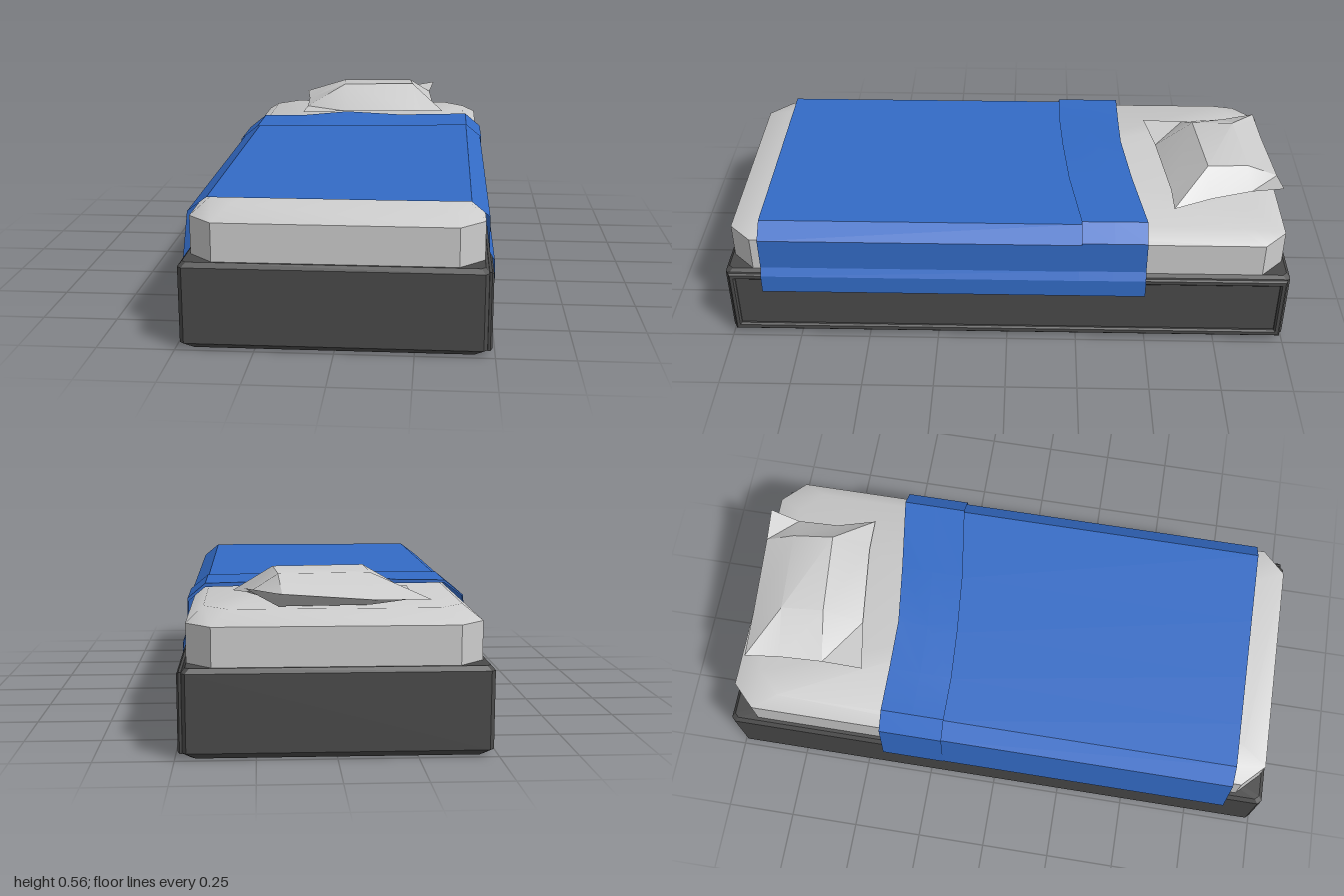
import * as THREE from 'three';
import { toCreasedNormals } from 'three/addons/utils/BufferGeometryUtils.js';

const mat = (name, color, side = THREE.FrontSide) => {
  const m = new THREE.MeshStandardMaterial({ color, side });
  m.name = name;
  return m;
};

// Skin rows of [x, y, z] points, skipping collapsed triangles
function skin(rows, closed, crease) {
  const pos = [];
  const same = (a, b) => a.every((v, k) => Math.abs(v - b[k]) < 1e-6);
  const tri = (a, b, c) => {
    if (!same(a, b) && !same(b, c) && !same(a, c)) pos.push(...a, ...b, ...c);
  };
  for (let i = 0; i + 1 < rows.length; i++) {
    const n = rows[i].length;
    for (let j = 0; j < (closed ? n : n - 1); j++) {
      const k = (j + 1) % n;
      tri(rows[i][j], rows[i][k], rows[i + 1][j]);
      tri(rows[i][k], rows[i + 1][k], rows[i + 1][j]);
    }
  }
  const g = new THREE.BufferGeometry();
  g.setAttribute('position', new THREE.Float32BufferAttribute(pos, 3));
  g.computeVertexNormals();
  return crease ? toCreasedNormals(g, crease) : g;
}

// Rectangle with cut corners, as a level ring
const ring = (y, x0, x1, z0, z1, c) => [
  [x1, z1 - c], [x1, z0 + c], [x1 - c, z0], [x0 + c, z0],
  [x0, z0 + c], [x0, z1 - c], [x0 + c, z1], [x1 - c, z1],
].map(([x, z]) => [x, y, z]);

// Stack of rings closed with a flat cap at both ends
function block(rings, crease) {
  const cap = r => r.map(() => [0, r[0][1], 0]);
  return skin([cap(rings[0]), ...rings, cap(rings[rings.length - 1])], true, crease);
}

export function createModel() {
  const group = new THREE.Group();
  const charcoal = mat('charcoal', 0x4a4a4a);
  const linen = mat('linen', 0xcccccc);
  const blue = mat('blue', 0x336bc6, THREE.DoubleSide);
  const add = (name, geometry, material) => {
    const m = new THREE.Mesh(geometry, material);
    m.name = name;
    group.add(m);
    return m;
  };

  // Base with chamfered edges
  const baseRing = (y, d) => ring(y, -0.485 + d, 0.478 - d, -1 + d, 1 - d, 0.014);
  add('base', block([baseRing(0, 0.028), baseRing(0.022, 0), baseRing(0.27, 0), baseRing(0.285, 0.013)]), charcoal);

  // Raised frame around the recessed panel on the left side
  const rect = (P, z, y0, y1) => new P([[-z, y0], [z, y0], [z, y1], [-z, y1]].map(p => new THREE.Vector2(...p)));
  const frame = rect(THREE.Shape, 0.983, 0.026, 0.268);
  frame.holes.push(rect(THREE.Path, 0.972, 0.04, 0.255));
  const frameGeo = new THREE.ExtrudeGeometry(frame, {
    depth: 0.008, bevelSize: 0.006, bevelThickness: 0.006, bevelSegments: 1,
  });
  frameGeo.rotateY(Math.PI / 2);
  add('sidePanelFrame', frameGeo, charcoal).position.x = 0.476;

  // Mattress with softened top
  const padRing = (y, dx, dz) => ring(y, -0.46 + dx, 0.465 - dx, -0.98 + dz, 0.98 - dz, 0.08);
  add('mattress', block([padRing(0.28, 0, 0), padRing(0.41, 0, 0), padRing(0.45, 0.052, 0.09)], 0.75), linen);

  // Blanket columns: x, y, head edge z, front edge z of the turned-back fold, lift of the fold
  const columns = [
    [-0.497, 0.212, -0.42, -0.19, 0],
    [-0.473, 0.415, -0.42, -0.19, 0.004],
    [-0.41, 0.462, -0.42, -0.19, 0.010],
    [-0.25, 0.462, -0.42, -0.19, 0.012],
    [-0.07, 0.462, -0.42, -0.20, 0.030],
    [0.15, 0.462, -0.45, -0.22, 0.014],
    [0.42, 0.463, -0.49, -0.26, 0.013],
    [0.478, 0.415, -0.49, -0.26, 0.010],
    [0.479, 0.30, -0.49, -0.255, 0.004],
    [0.496, 0.272, -0.49, -0.255, 0.003],
    [0.498, 0.206, -0.49, -0.255, 0.003],
  ];
  const out = (x, d) => x + Math.sign(x) * (Math.abs(x) > 0.45 ? 0.003 : 0) * (d > 0 ? 1 : 0.5);
  const foldRow = (t, k) => columns.map(([x, y, head, front, lift]) =>
    [out(x, lift), y + Math.min(lift, 0.012) + Math.max(lift - 0.012, 0) * k, head + (front - head) * t]);
  add('blanket', skin([
    columns.map(([x, y]) => [x, y, 0.87]),
    columns.map(([x, y, head, front]) => [x, y, front]),
    columns.map(([x, y, head]) => [x, y, head]),
    foldRow(0, 1), foldRow(0.5, 0.8), foldRow(1, 0.15),
  ], false, 0.3), blue);

  // Pillow: corners blended, sides pinched, top puffed and underside flattened
  const mix = THREE.MathUtils.lerp;
  const corner = { fl: [-0.265, 0.468, -0.52], fr: [0.325, 0.466, -0.59], bl: [-0.29, 0.485, -0.95], br: [0.282, 0.528, -0.975] };
  const us = [0, 0.3, 0.8, 1], vs = [0, 0.35, 0.72, 1];
  const pillowRows = heights => vs.map((v, i) => us.map((u, j) => {
    const p = [0, 1, 2].map(k => mix(mix(corner.fl[k], corner.fr[k], u), mix(corner.bl[k], corner.br[k], u), v));
    const midU = j === 1 || j === 2, midV = i === 1 || i === 2;
    if (midV && j === 0) p[0] += 0.012;
    if (midV && j === 3) p[0] -= 0.03;
    if (midU && i === 0) p[2] -= 0.012;
    if (midU && i === 3) p[1] -= 0.012;
    if (midV && !midU) p[1] -= 0.008;
    if (midU && midV) p[1] = heights[i - 1];
    return p;
  }));
  add('pillowTop', skin(pillowRows([0.562, 0.556]), false, 0.5), linen);
  add('pillowUnderside', skin(pillowRows([0.452, 0.453]).reverse(), false, 0.5), linen);

  return group;
}
